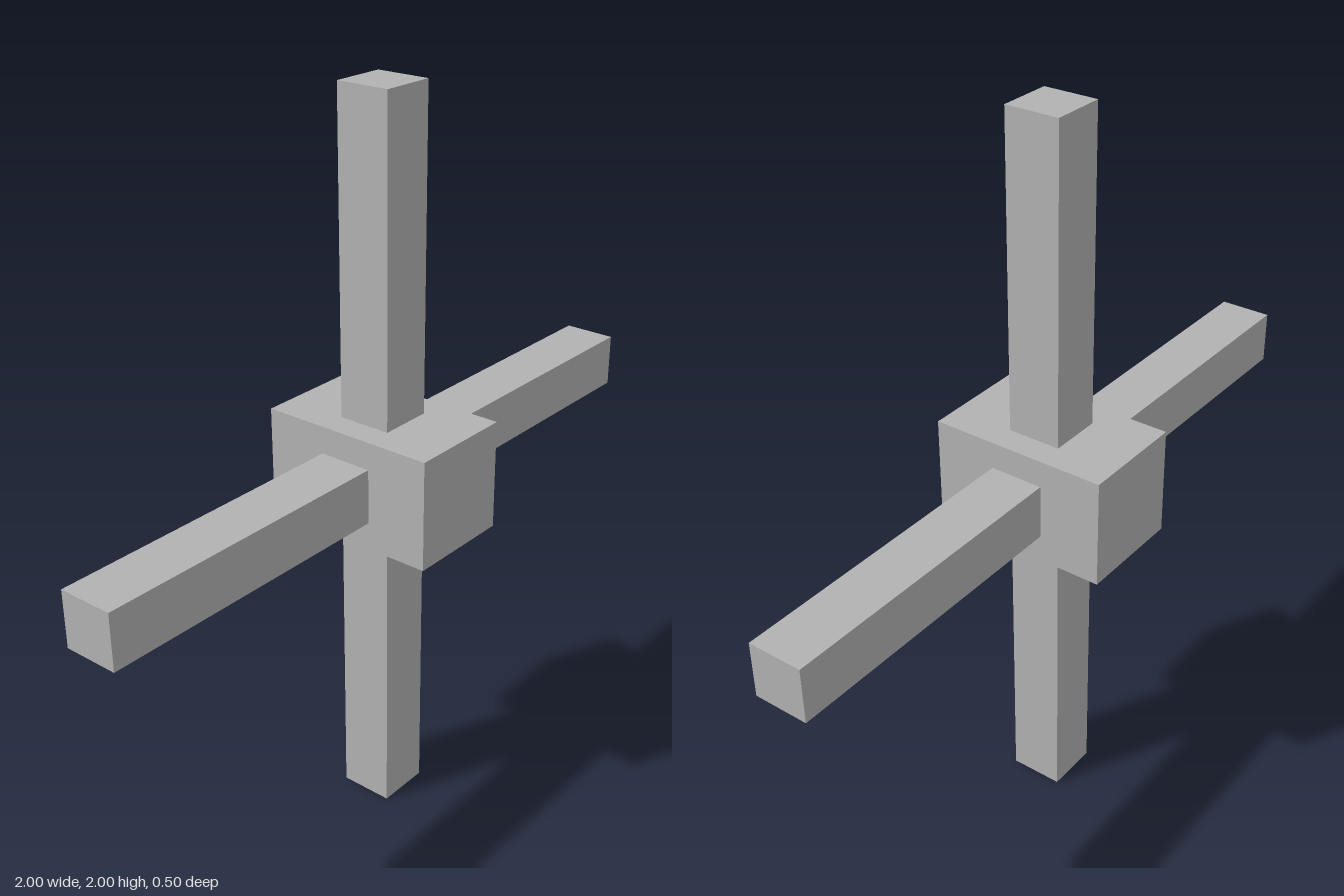
import * as THREE from 'three';

export function createModel() {
  const model = new THREE.Group();
  model.name = 'crossedBars';
  const grey = new THREE.MeshStandardMaterial({ color: 0xb2b2b2 });
  grey.name = 'grey';

  const hubSize = 0.3, barWidth = 0.15;
  const armLength = 1 - hubSize / 2;
  const centre = new THREE.Vector3(0, 1, 0);

  // Central block, deeper from front to back
  const hub = new THREE.Mesh(new THREE.BoxGeometry(hubSize, hubSize, 0.5), grey);
  hub.name = 'hub';
  hub.position.copy(centre);
  model.add(hub);

  // Four square arms reaching out from the block
  const arms = { topArm: [0, 1], bottomArm: [0, -1], leftArm: [1, 0], rightArm: [-1, 0] };
  for (const [name, [dx, dy]] of Object.entries(arms)) {
    const geometry = new THREE.BoxGeometry(
      dx ? armLength : barWidth, dy ? armLength : barWidth, barWidth);
    const arm = new THREE.Mesh(geometry, grey);
    arm.name = name;
    const offset = (hubSize + armLength) / 2;
    arm.position.set(dx * offset, centre.y + dy * offset, 0);
    model.add(arm);
  }
  return model;
}
